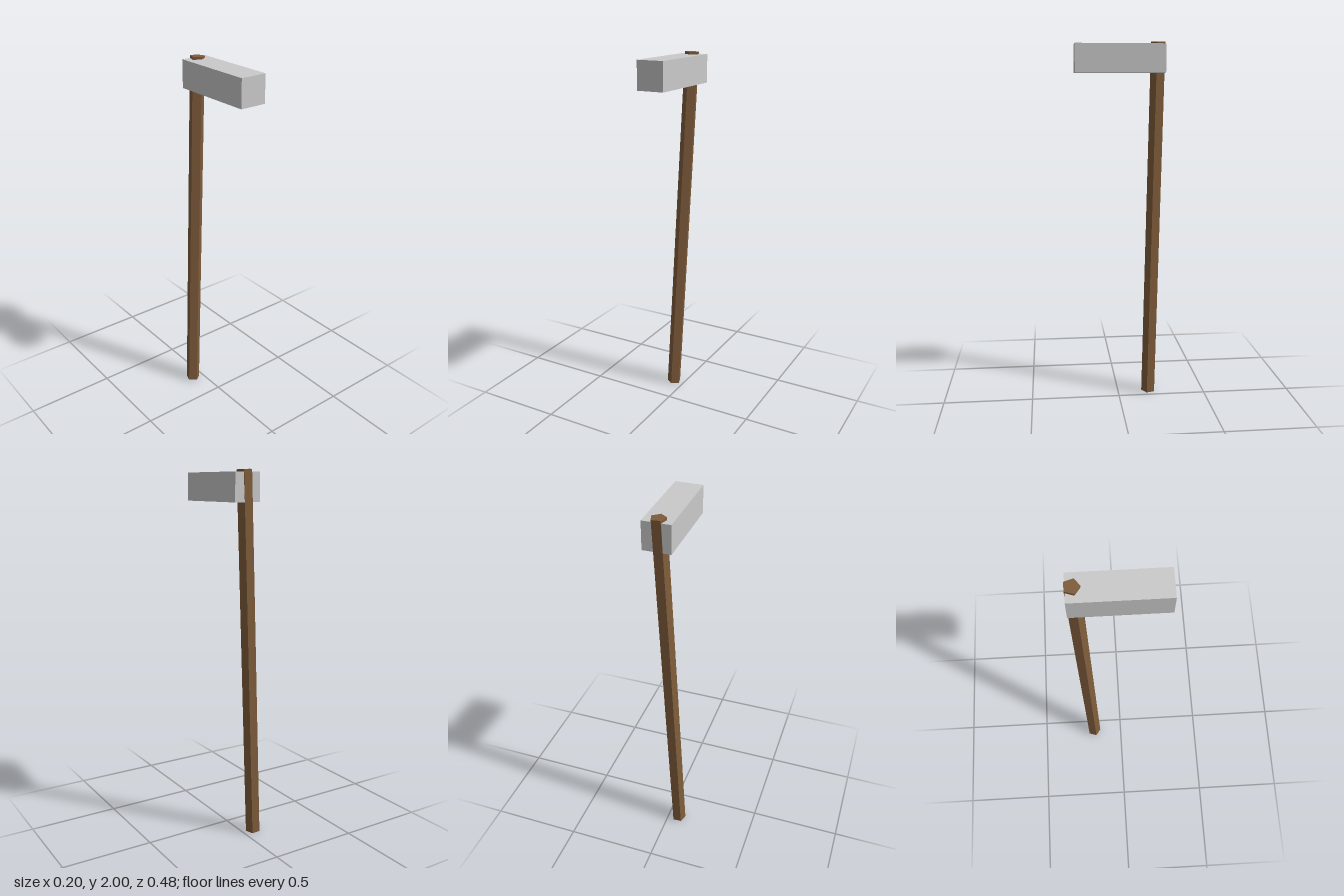
import * as THREE from 'three';

export function createModel() {
  const model = new THREE.Group();
  model.name = 'hammer';

  const wood = new THREE.MeshStandardMaterial({ color: 0x805d3b, flatShading: true });
  wood.name = 'brown wood';
  const metal = new THREE.MeshStandardMaterial({ color: 0xcacaca, flatShading: true });
  metal.name = 'light grey metal';

  // Five-sided handle, leaning slightly to the left and back
  const handle = new THREE.Mesh(new THREE.CylinderGeometry(0.0405, 0.0405, 1.998, 5), wood);
  handle.name = 'handle';
  handle.position.set(-0.0185, 1, -0.193);
  handle.rotation.set(-0.0145, 0, -0.0447);

  // Rectangular block head, pointing forward
  const head = new THREE.Mesh(new THREE.BoxGeometry(0.148, 0.149, 0.477), metal);
  head.name = 'head';
  head.position.set(0.026, 1.911, 0.001);

  model.add(handle, head);
  return model;
}
